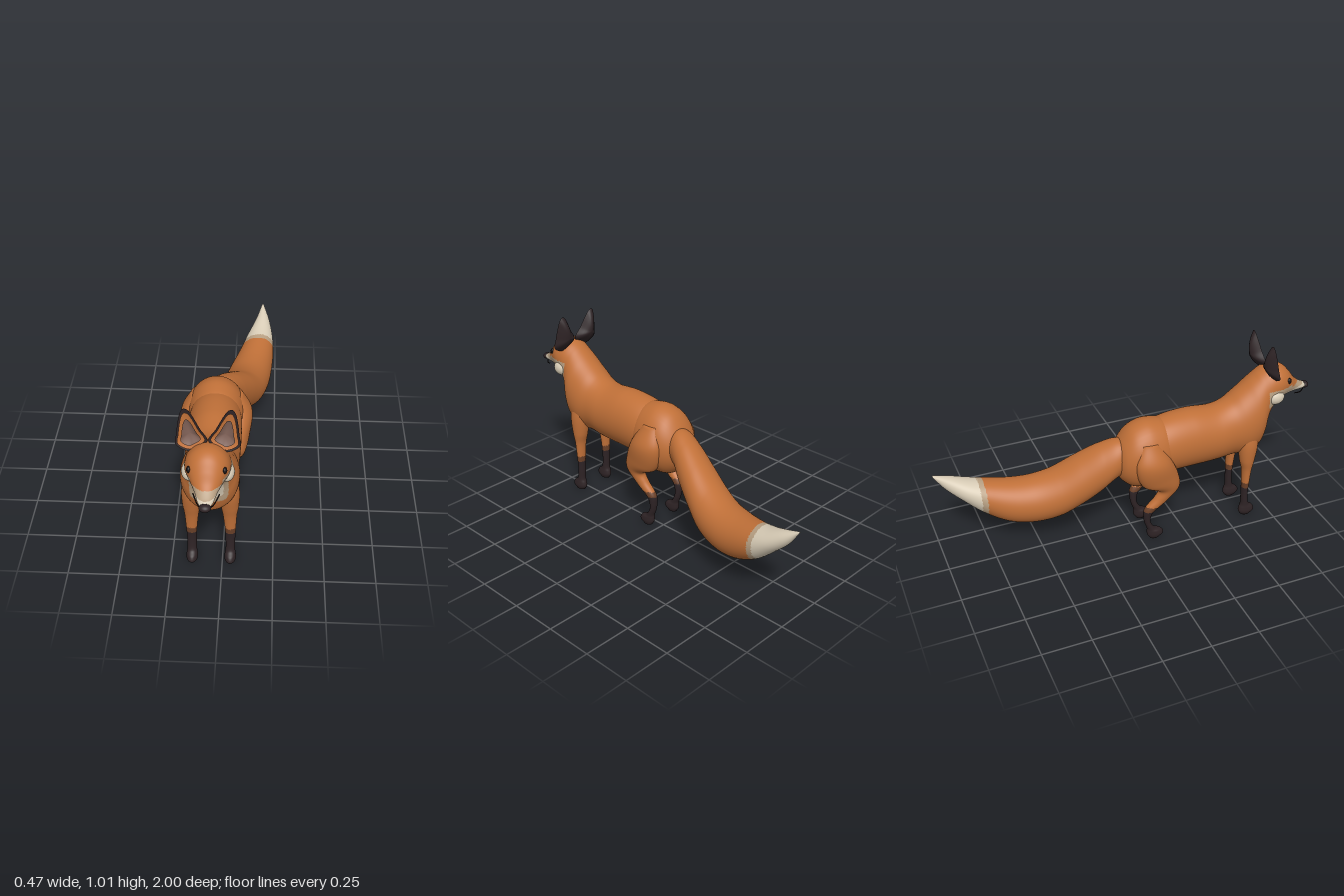
import * as THREE from 'three';

const CX = -0.055; // the body's own centre line; the tail swings to +x

const mat = (name, color) => Object.assign(new THREE.MeshStandardMaterial({ color }), { name });
const orange = mat('orange fur', 0xc07038);
const cream = mat('cream fur', 0xd8ccb6);
const tan = mat('tan blend', 0xb79f82);
const dark = mat('dark fur', 0x2e2325);
const brown = mat('brown blend', 0x6a4028);
const pink = mat('inner ear', 0x7d5f55);
const black = mat('black', 0x161112);

// Smooth loft through elliptical sections [z1, y1, z2, y2, halfWidth, xCentre]:
// (z1,y1) and (z2,y2) are opposite points of the side profile.
// rule(dx, y, z) picks the index of the material for each face.
function loft(name, sections, materials, rule = () => 0, rows = 60, cols = 40) {
  const curve = (f, type) => new THREE.CatmullRomCurve3(sections.map(f), false, type);
  const a = curve(s => new THREE.Vector3(0, s[1], s[0]), 'centripetal');
  const b = curve(s => new THREE.Vector3(0, s[3], s[2]), 'centripetal');
  const w = curve(s => new THREE.Vector3(s[4], s[5] ?? CX, 0), 'catmullrom');
  const pos = [];
  for (let i = 0; i <= rows; i++) {
    const t = i / rows;
    const p = a.getPoint(t), q = b.getPoint(t), s = w.getPoint(t);
    const mid = p.clone().add(q).multiplyScalar(0.5), half = p.sub(q).multiplyScalar(0.5);
    for (let j = 0; j < cols; j++) {
      const ang = (j / cols) * Math.PI * 2, c = Math.cos(ang);
      pos.push(s.y + s.x * Math.sin(ang), mid.y + half.y * c, mid.z + half.z * c);
    }
    if (i === 0 || i === rows) sections[i ? 'last' : 'first'] = [s.y, mid.y, mid.z];
  }
  const startPole = pos.length / 3;
  pos.push(...sections.first, ...sections.last);
  const faces = materials.map(() => []);
  const tri = (...v) => {
    const avg = k => (pos[v[0] * 3 + k] + pos[v[1] * 3 + k] + pos[v[2] * 3 + k]) / 3;
    faces[rule(avg(0) - CX, avg(1), avg(2))].push(...v);
  };
  for (let j = 0; j < cols; j++) {
    const k = (j + 1) % cols, end = rows * cols;
    tri(startPole, j, k);
    tri(startPole + 1, end + k, end + j);
    for (let i = 0; i < rows; i++) {
      const r = i * cols, n = r + cols;
      tri(r + j, n + j, r + k);
      tri(r + k, n + j, n + k);
    }
  }
  const geo = new THREE.BufferGeometry();
  geo.setAttribute('position', new THREE.Float32BufferAttribute(pos, 3));
  geo.setIndex(faces.flat());
  let start = 0;
  faces.forEach((f, m) => { geo.addGroup(start, f.length, m); start += f.length; });
  geo.computeVertexNormals();
  const mesh = new THREE.Mesh(geo, materials);
  mesh.name = name;
  return mesh;
}

function ball(name, material, x, y, z, rx, ry, rz) {
  const geo = new THREE.SphereGeometry(1, 28, 20);
  geo.scale(rx, ry, rz);
  geo.translate(CX + x, y, z);
  const mesh = new THREE.Mesh(geo, material);
  mesh.name = name;
  return mesh;
}

// Ear outline, as [distance from centre line, height]
const earOutline = new THREE.CatmullRomCurve3([
  [0.105, 1.012], [0.118, 0.998], [0.129, 0.955], [0.137, 0.89], [0.141, 0.838],
  [0.084, 0.806], [0.055, 0.819], [0.002, 0.86], [0.035, 0.918], [0.068, 0.98], [0.088, 1.007],
].map(p => new THREE.Vector3(p[0], p[1], 0)), true).getSpacedPoints(60).slice(0, 60);

// One dished or domed sheet of an ear, leaning back towards the tip
function earSheet(name, material, side, scale, lift, depth, facesFront) {
  const pos = [], index = [], n = earOutline.length, rings = 6;
  const cx = 0.077, cy = 0.892;
  for (let r = 0; r <= rings; r++) {
    const s = 1 - r / rings;
    for (const p of earOutline) {
      const x = cx + (p.x - cx) * s * scale, y = cy + (p.y - cy) * s * scale;
      pos.push(CX + side * x, y, 0.745 - 0.18 * (y - 0.81) + lift + depth * (1 - s * s));
    }
  }
  const flip = (side > 0) === facesFront;
  for (let r = 0; r < rings; r++) for (let j = 0; j < n; j++) {
    const a = r * n + j, b = r * n + (j + 1) % n, c = a + n, d = b + n;
    index.push(...(flip ? [a, c, b, b, c, d] : [a, b, c, b, d, c]));
  }
  const geo = new THREE.BufferGeometry();
  geo.setAttribute('position', new THREE.Float32BufferAttribute(pos, 3));
  geo.setIndex(index);
  geo.computeVertexNormals();
  const mesh = new THREE.Mesh(geo, material);
  mesh.name = name;
  return mesh;
}

// Rounded-rectangle test for the bib
const inBib = (dx, y, hw, hh) => (dx / hw) ** 6 + ((y - 0.61) / hh) ** 6 < 1;

function bodyColour(dx, y, z) {
  const x = Math.abs(dx);
  if (z > 0.79 && y < 0.722) return y < 0.71 ? 1 : 2;           // muzzle
  if (z > 0.68 && inBib(dx, y, 0.068, 0.092)) return 1;         // bib
  if (z > 0.68 && inBib(dx, y, 0.09, 0.125)) return 2;
  if (z > 0.71 && x > 0.07 && y > 0.655 && y < 0.748) return 2; // cheek edge
  if (z > 0.2 && z < 0.54 && y < 0.388) return z > 0.23 && z < 0.51 && y < 0.376 ? 1 : 2; // belly
  return 0;
}

export function createModel() {
  const fox = new THREE.Group();
  fox.name = 'fox';

  // Torso, neck and head in one smooth run, rear to muzzle
  fox.add(loft('bodyAndHead', [
    [0.02, 0.62, 0.02, 0.40, 0.10], [0.15, 0.67, 0.15, 0.365, 0.13], [0.30, 0.685, 0.30, 0.362, 0.135],
    [0.45, 0.675, 0.45, 0.365, 0.132], [0.52, 0.695, 0.54, 0.372, 0.129], [0.57, 0.73, 0.63, 0.366, 0.138],
    [0.61, 0.76, 0.69, 0.40, 0.137], [0.64, 0.785, 0.718, 0.46, 0.13], [0.665, 0.805, 0.732, 0.53, 0.118],
    [0.69, 0.825, 0.75, 0.585, 0.107], [0.73, 0.848, 0.775, 0.625, 0.104], [0.785, 0.857, 0.80, 0.65, 0.1],
    [0.83, 0.84, 0.825, 0.664, 0.088], [0.87, 0.798, 0.865, 0.672, 0.068], [0.905, 0.752, 0.90, 0.675, 0.05],
    [0.95, 0.716, 0.95, 0.677, 0.034], [0.982, 0.702, 0.98, 0.682, 0.018],
  ], [orange, cream, tan], bodyColour, 200, 96));

  // Rounded haunches
  fox.add(loft('hips', [
    [-0.105, 0.53, -0.105, 0.42, 0.05], [-0.07, 0.60, -0.085, 0.37, 0.10], [-0.02, 0.655, -0.03, 0.318, 0.135],
    [0.05, 0.682, 0.04, 0.303, 0.146], [0.11, 0.678, 0.11, 0.305, 0.142], [0.16, 0.663, 0.15, 0.33, 0.128],
    [0.20, 0.63, 0.19, 0.38, 0.1],
  ], [orange]));

  // Bushy tail, tip to root
  fox.add(loft('tail', [
    [-0.999, 0.476, -0.999, 0.466, 0.006, 0.165], [-0.91, 0.447, -0.945, 0.385, 0.038, 0.165],
    [-0.81, 0.412, -0.87, 0.31, 0.072, 0.153], [-0.72, 0.393, -0.77, 0.22, 0.097, 0.136],
    [-0.60, 0.38, -0.65, 0.155, 0.117, 0.108], [-0.50, 0.386, -0.53, 0.135, 0.125, 0.085],
    [-0.40, 0.42, -0.40, 0.158, 0.127, 0.055], [-0.28, 0.495, -0.30, 0.215, 0.118, 0.022],
    [-0.17, 0.56, -0.20, 0.29, 0.104, -0.012], [-0.08, 0.59, -0.13, 0.36, 0.088, -0.038],
    [0, 0.56, -0.02, 0.42, 0.06, -0.05],
  ], [orange, cream, tan], (dx, y, z) => (z < -0.782 ? 1 : z < -0.755 ? 2 : 0), 140, 56));

  const legMats = [orange, dark, brown];
  for (const side of [1, -1]) {
    const label = side > 0 ? 'left' : 'right';
    const place = s => s.map(([z1, y1, z2, y2, w, off]) => [z1, y1, z2, y2, w, CX + side * off]);

    // Front leg and paw, shoulder downwards
    fox.add(loft(label + 'FrontLeg', place([
      [0.66, 0.54, 0.56, 0.54, 0.035, 0.088], [0.665, 0.45, 0.56, 0.45, 0.046, 0.092],
      [0.652, 0.36, 0.57, 0.36, 0.043, 0.092], [0.64, 0.30, 0.585, 0.30, 0.034, 0.092],
      [0.631, 0.21, 0.59, 0.21, 0.027, 0.094], [0.628, 0.12, 0.592, 0.12, 0.023, 0.094],
      [0.638, 0.068, 0.592, 0.068, 0.023, 0.094], [0.665, 0.044, 0.584, 0.044, 0.027, 0.094],
      [0.673, 0.022, 0.582, 0.022, 0.028, 0.094], [0.65, 0, 0.595, 0, 0.02, 0.094],
    ]), legMats, (dx, y) => (y < 0.185 ? 1 : y < 0.215 ? 2 : 0), 90, 32));

    // Hind leg: thigh, hock and paw
    fox.add(loft(label + 'HindLeg', place([
      [0.09, 0.60, 0, 0.60, 0.03, 0.1], [0.15, 0.50, -0.04, 0.49, 0.06, 0.122],
      [0.195, 0.40, 0, 0.36, 0.056, 0.116], [0.205, 0.32, 0.09, 0.305, 0.041, 0.112],
      [0.14, 0.24, 0.072, 0.262, 0.031, 0.107], [0.064, 0.17, 0.016, 0.192, 0.025, 0.1],
      [0.052, 0.13, 0.014, 0.145, 0.022, 0.097], [0.056, 0.10, 0.022, 0.10, 0.021, 0.095],
      [0.08, 0.062, 0.035, 0.062, 0.022, 0.095], [0.115, 0.045, 0.035, 0.045, 0.027, 0.095],
      [0.127, 0.022, 0.037, 0.022, 0.028, 0.095], [0.10, 0, 0.05, 0, 0.02, 0.095],
    ]), legMats, (dx, y) => (y < 0.185 ? 1 : y < 0.212 ? 2 : 0), 100, 32));

    // Ear: domed dark back and rim, orange lining, inner patch
    fox.add(
      earSheet(label + 'EarBack', dark, side, 1, 0, -0.05, false),
      earSheet(label + 'EarRim', dark, side, 1, 0, -0.012, true),
      earSheet(label + 'EarLining', orange, side, 0.86, 0.004, -0.012, true),
      earSheet(label + 'EarInner', pink, side, 0.62, 0.009, -0.014, true),
    );

    // Cheek tuft and eye
    fox.add(
      ball(label + 'Cheek', cream, side * 0.083, 0.703, 0.757, 0.036, 0.04, 0.05),
      ball(label + 'Eye', black, side * 0.078, 0.778, 0.834, 0.011, 0.016, 0.014),
    );
  }

  // Nose and mouth line
  fox.add(ball('nose', dark, 0, 0.69, 0.978, 0.027, 0.018, 0.022));
  const mouthPath = new THREE.CatmullRomCurve3(
    [[-0.058, 0.685, 0.885], [-0.032, 0.669, 0.94], [0, 0.675, 0.972], [0.032, 0.669, 0.94], [0.058, 0.685, 0.885]]
      .map(p => new THREE.Vector3(CX + p[0], p[1], p[2])));
  const mouth = new THREE.Mesh(new THREE.TubeGeometry(mouthPath, 40, 0.003, 8), black);
  mouth.name = 'mouth';
  fox.add(mouth);

  return fox;
}
